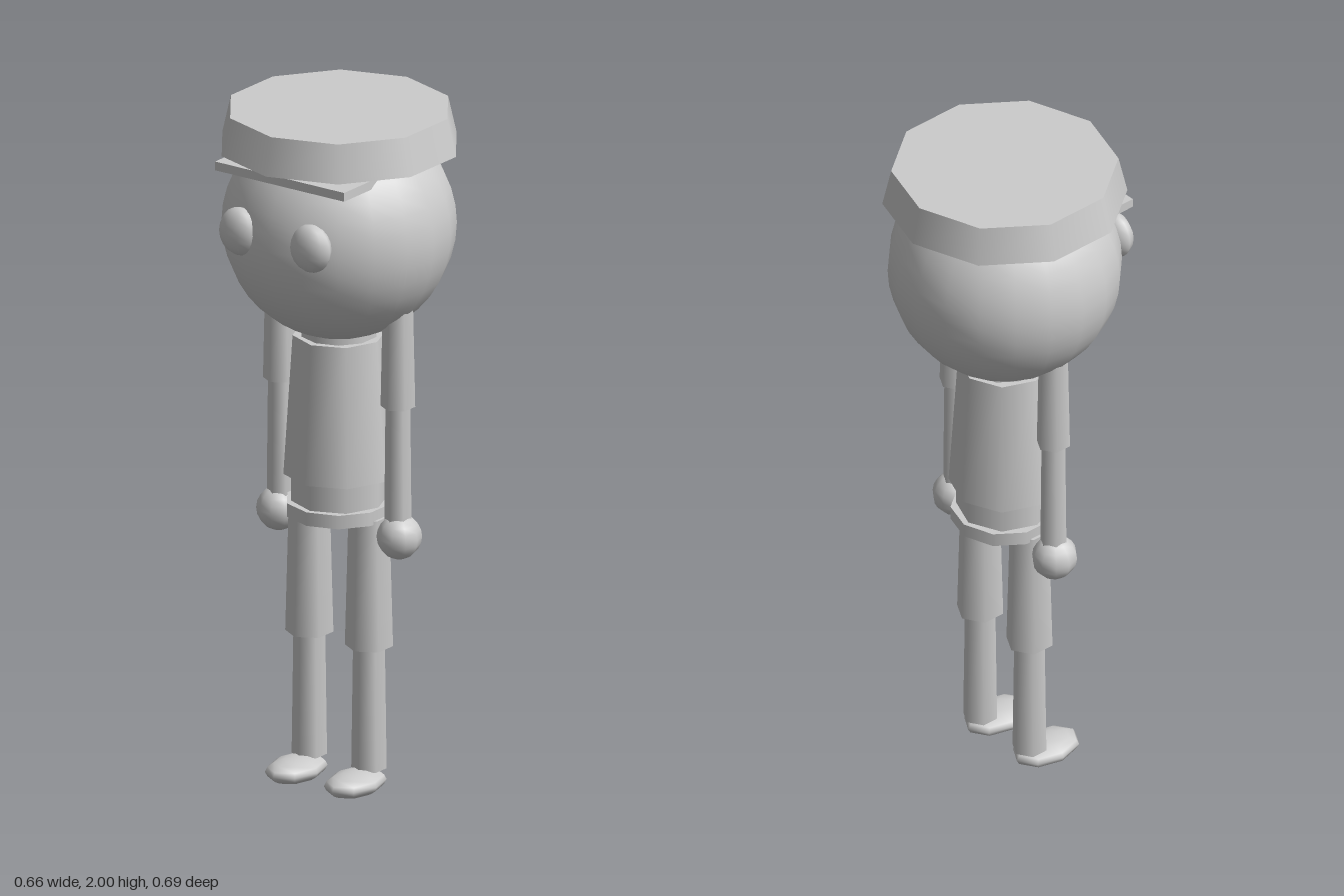
import * as THREE from 'three';

export function createModel() {
  const model = new THREE.Group();
  const grey = new THREE.MeshStandardMaterial({ color: 0xcccccc });
  grey.name = 'light grey';

  function add(name, geometry, x, y, z) {
    const mesh = new THREE.Mesh(geometry, grey);
    mesh.name = name;
    mesh.position.set(x, y, z);
    model.add(mesh);
    return mesh;
  }

  // Tapered round part standing between two heights
  function column(name, x, bottom, top, rBottom, rTop, sides) {
    return add(name, new THREE.CylinderGeometry(rTop, rBottom, top - bottom, sides), x, (bottom + top) / 2, 0);
  }

  // Ball stretched to the given half sizes
  function ball(name, x, y, z, rx, ry, rz, sides, rings) {
    const mesh = add(name, new THREE.SphereGeometry(1, sides, rings), x, y, z);
    mesh.scale.set(rx, ry, rz);
    return mesh;
  }

  // Head and cap
  ball('head', 0, 1.66, 0, 0.33, 0.33, 0.33, 20, 20);
  column('cap', 0, 1.89, 2.0, 0.345, 0.32, 10);
  add('capPeak', new THREE.BoxGeometry(0.45, 0.026, 0.22), 0, 1.857, 0.17);

  // Body
  column('neck', 0, 1.32, 1.38, 0.11, 0.11, 10);
  column('torso', 0, 0.92, 1.33, 0.158, 0.132, 8);
  column('hips', 0, 0.83, 0.93, 0.137, 0.137, 8);
  column('belt', 0, 0.8, 0.84, 0.153, 0.153, 10);

  // Eyes and limbs, one set for each side
  for (const [side, s] of [['left', 1], ['right', -1]]) {
    ball(side + 'Eye', s * 0.124, 1.69, 0.3, 0.067, 0.07, 0.042, 10, 10);

    column(side + 'UpperArm', s * 0.205, 1.155, 1.45, 0.049, 0.043, 6);
    column(side + 'Forearm', s * 0.205, 0.76, 1.16, 0.039, 0.035, 6);
    ball(side + 'Hand', s * 0.21, 0.77, 0, 0.063, 0.065, 0.066, 10, 10);

    column(side + 'Thigh', s * 0.104, 0.425, 0.81, 0.068, 0.058, 6);
    column(side + 'Shin', s * 0.104, 0.062, 0.43, 0.05, 0.045, 6);
    ball(side + 'Foot', s * 0.103, 0.035, 0.063, 0.074, 0.035, 0.109, 8, 8);
  }

  return model;
}
